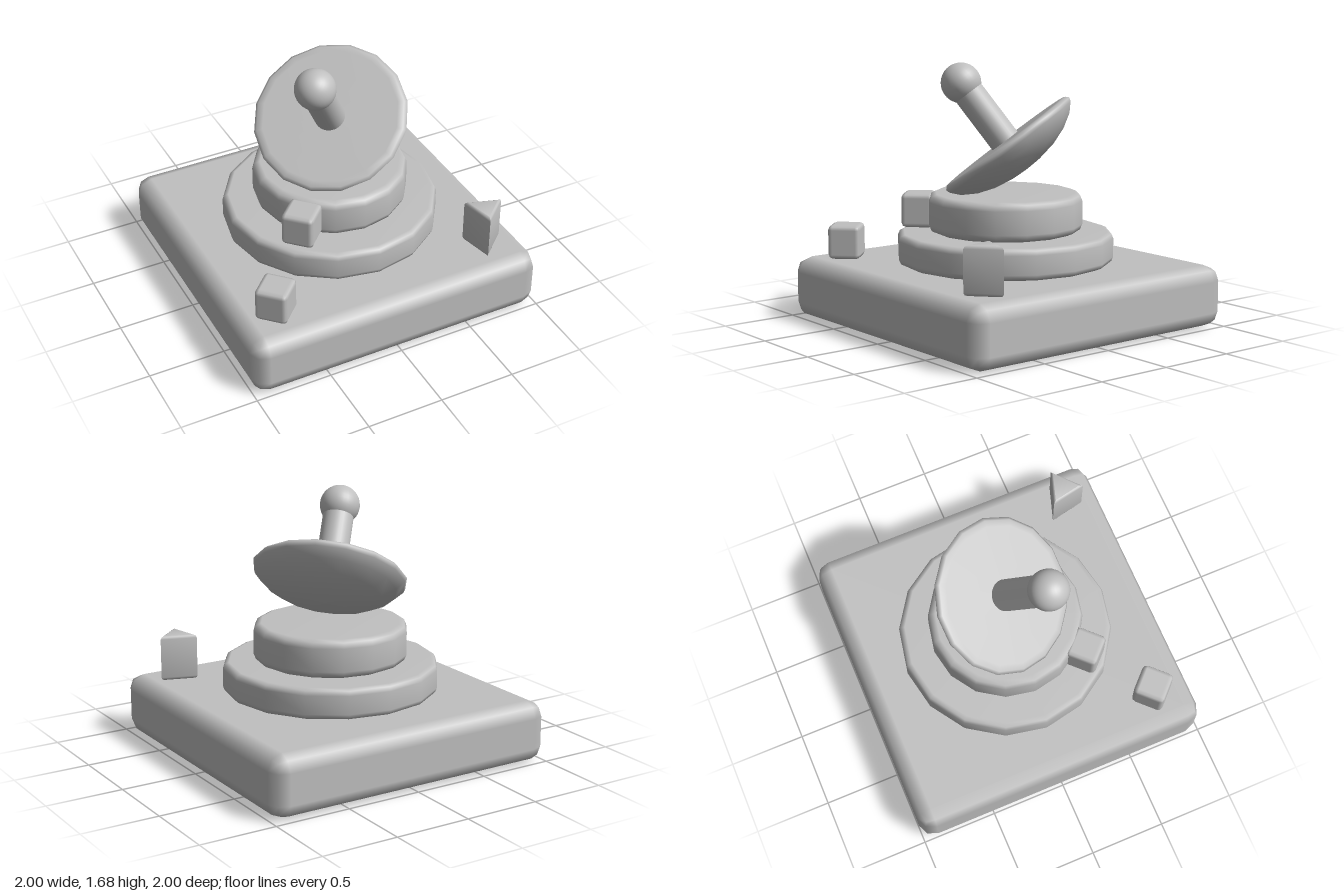
import * as THREE from 'three';
import { toCreasedNormals } from 'three/addons/utils/BufferGeometryUtils.js';
import { RoundedBoxGeometry } from 'three/addons/geometries/RoundedBoxGeometry.js';

export function createModel() {
  const group = new THREE.Group();
  const grey = new THREE.MeshStandardMaterial({ color: 0xc0c0c0 });
  grey.name = 'plain grey';

  const add = (name, geometry, x, y, z, parent = group) => {
    const mesh = new THREE.Mesh(geometry, grey);
    mesh.name = name;
    mesh.position.set(x, y, z);
    parent.add(mesh);
    return mesh;
  };
  const lathe = (points, sides) =>
    new THREE.LatheGeometry(points.map(([r, y]) => new THREE.Vector2(r, y)), sides);

  // Sixteen-sided drum with softened rims
  const drum = (r, h, b) => lathe([
    [0, 0], [r - b, 0], [r - b * 0.3, b * 0.3], [r, b],
    [r, h - b], [r - b * 0.3, h - b * 0.3], [r - b, h], [0, h],
  ], 16);

  // Base slab and stacked drums
  add('base', new RoundedBoxGeometry(2, 0.4, 2, 1, 0.1), 0, 0.2, 0);
  add('lowerDrum', drum(0.7, 0.2, 0.04), 0, 0.4, 0);
  add('upperDrum', drum(0.5, 0.25, 0.05), 0, 0.6, 0);

  // Dish, feed rod and ball share one tilted axis
  const antenna = new THREE.Group();
  antenna.name = 'antenna';
  antenna.position.set(0, 1.18, 0);
  antenna.quaternion.setFromUnitVectors(
    new THREE.Vector3(0, 1, 0), new THREE.Vector3(-1, 1.85, 1).normalize());
  group.add(antenna);
  add('dish', lathe([
    [0, -0.23], [0.12, -0.222], [0.24, -0.2], [0.35, -0.16],
    [0.44, -0.105], [0.49, -0.05], [0.5, -0.025], [0.48, -0.005], [0.44, 0], [0, 0],
  ], 16), 0, 0, 0, antenna);
  add('feedRod', new THREE.CylinderGeometry(0.1, 0.1, 0.44, 32), 0, 0.2, 0, antenna);
  add('feedBall', new THREE.SphereGeometry(0.13, 32, 20), 0, 0.465, 0, antenna);

  // Cubes turned on their corners
  for (const [name, x, y, z] of [
    ['groundCube', -0.74, 0.51, 0.735], ['drumCube', -0.395, 0.73, 0.395],
  ]) {
    add(name, new RoundedBoxGeometry(0.21, 0.22, 0.21, 1, 0.03), x, y, z).rotation.y = Math.PI / 4;
  }

  // Three-sided post with bevelled edges
  const triangle = new THREE.Shape([0, 1, 2].map((i) => {
    const a = THREE.MathUtils.degToRad(-108 + i * 120);
    return new THREE.Vector2(Math.cos(a) * 0.11, Math.sin(a) * 0.11);
  }));
  const post = new THREE.ExtrudeGeometry(triangle, {
    depth: 0.26, bevelSize: 0.02, bevelThickness: 0.02, bevelSegments: 2,
  });
  post.rotateX(-Math.PI / 2);
  add('triangularPost', toCreasedNormals(post, 0.9), 0.735, 0.42, 0.73);

  return group;
}
